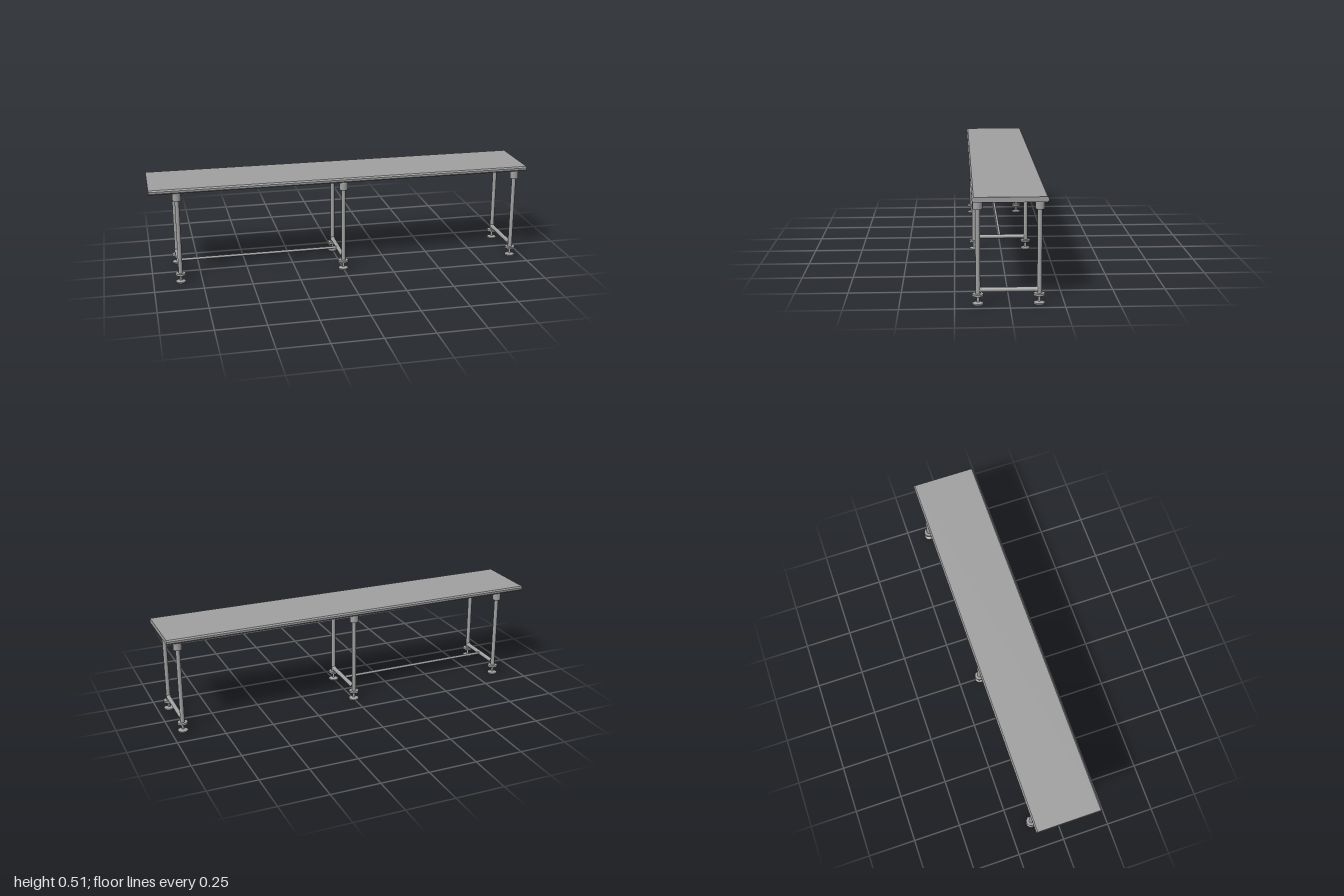
import * as THREE from 'three';

export function createModel() {
  const model = new THREE.Group();
  const grey = new THREE.MeshStandardMaterial({ color: 0xa0a0a0 });
  grey.name = 'grey';

  const add = (name, geometry, parent, x = 0, y = 0, z = 0) => {
    const mesh = new THREE.Mesh(geometry, grey);
    mesh.name = name;
    mesh.position.set(x, y, z);
    parent.add(mesh);
    return mesh;
  };

  // Lathe from [radius, y] points; doubled points keep the rims crisp
  const turned = (points) => {
    const profile = points.flatMap(([r, y]) => [new THREE.Vector2(r, y), new THREE.Vector2(r, y)]);
    return new THREE.LatheGeometry(profile.slice(1, -1), 24);
  };

  // Table top: bevelled long edges, extruded along x
  const w = 0.17, low = 0.486, high = 0.51, c = 0.007;
  const section = new THREE.Shape([
    [-w + c, low], [w - c, low], [w, low + c], [w, high - c],
    [w - c, high], [-w + c, high], [-w, high - c], [-w, low + c],
  ].map(([a, b]) => new THREE.Vector2(a, b)));
  const top = new THREE.ExtrudeGeometry(section, { depth: 2, bevelEnabled: false });
  top.translate(0, 0, -1).rotateY(Math.PI / 2);
  add('tableTop', top, model);

  // Shared leg parts
  const post = new THREE.CylinderGeometry(0.011, 0.011, 0.4, 20);
  const cap = turned([[0, 0.443], [0.0205, 0.443], [0.0218, 0.446], [0.0218, 0.483], [0.0205, 0.486], [0, 0.486]]);
  const collar = turned([[0, 0.037], [0.014, 0.037], [0.026, 0.041], [0.026, 0.051], [0, 0.051]]);
  const stem = new THREE.CylinderGeometry(0.0065, 0.0065, 0.034, 16);
  const foot = turned([[0, 0], [0.025, 0], [0.026, 0.002], [0.026, 0.007], [0.014, 0.012], [0, 0.012]]);

  // Crossbar with small flared ends, lying along z
  const frontZ = 0.144, backZ = -0.135, midZ = (frontZ + backZ) / 2;
  const half = (frontZ - backZ) / 2;
  const crossbar = turned([
    [0.013, -half + 0.008], [0.013, -half + 0.012], [0.011, -half + 0.016],
    [0.011, half - 0.016], [0.013, half - 0.012], [0.013, half - 0.008],
  ]).rotateX(Math.PI / 2);

  // Three leg frames
  const frameX = [-0.86, 0, 0.94];
  for (const x of frameX) {
    const frame = new THREE.Group();
    frame.name = 'legFrame';
    frame.position.x = x;
    model.add(frame);
    for (const z of [frontZ, backZ]) {
      const leg = new THREE.Group();
      leg.name = z > 0 ? 'frontLeg' : 'backLeg';
      leg.position.z = z;
      frame.add(leg);
      add('post', post, leg, 0, 0.25);
      add('cap', cap, leg);
      add('collar', collar, leg);
      add('stem', stem, leg, 0, 0.025);
      add('foot', foot, leg);
    }
    add('crossbar', crossbar, frame, 0, 0.069, midZ);
  }

  // Long rail joining the left-hand and middle frames
  const rail = new THREE.CylinderGeometry(0.007, 0.007, 0.86, 16).rotateZ(Math.PI / 2);
  add('longRail', rail, model, -0.43, 0.069, midZ);

  return model;
}
